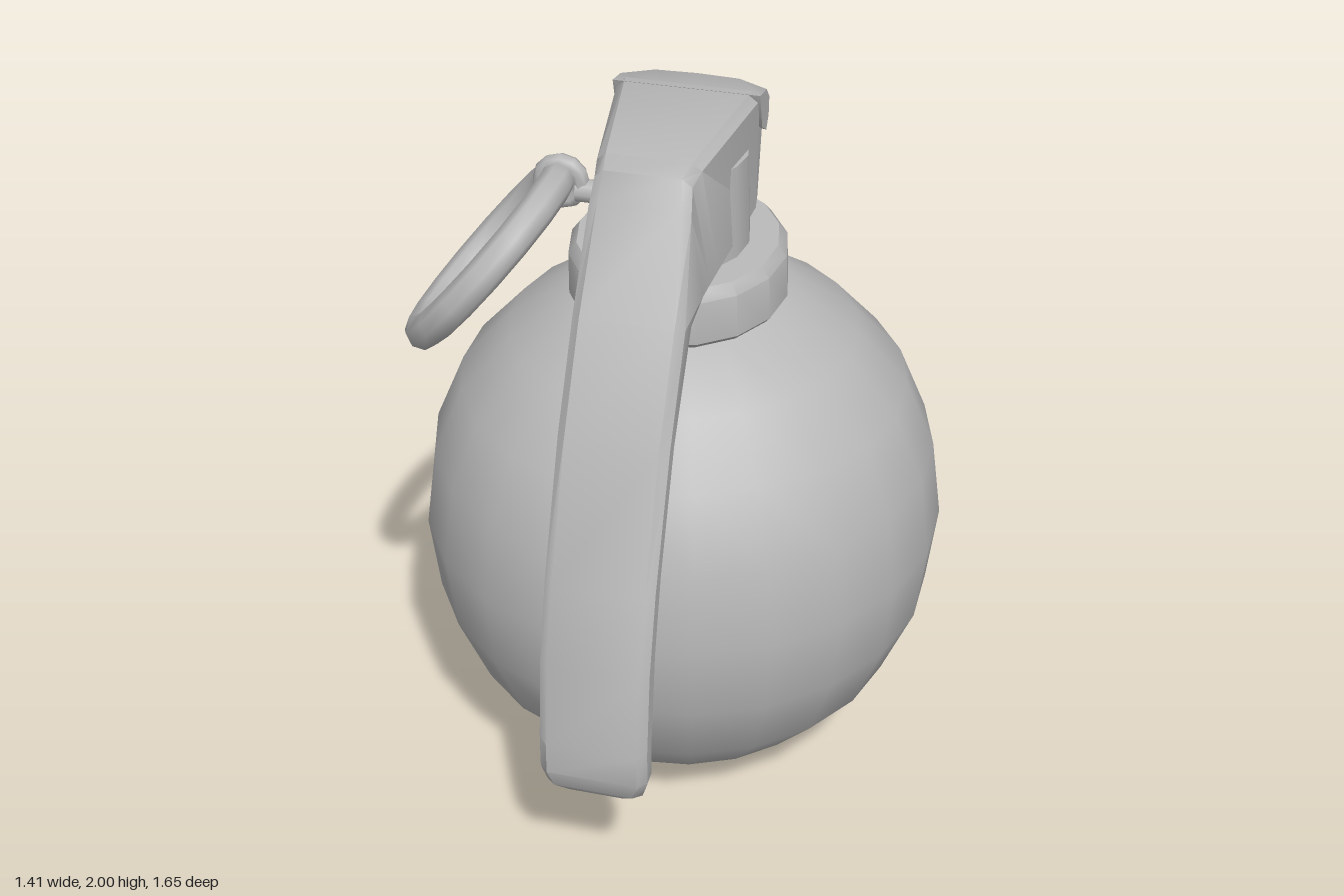
import * as THREE from 'three';
import { toCreasedNormals } from 'three/addons/utils/BufferGeometryUtils.js';

// Skin a closed solid over equal-length rings of [x, y, z] points.
function loft(rings, crease) {
  const n = rings[0].length, last = (rings.length - 1) * n, index = [];
  for (let i = 0; i < rings.length - 1; i++) {
    for (let j = 0; j < n; j++) {
      const a = i * n + j, b = i * n + (j + 1) % n;
      index.push(a, b, b + n, a, b + n, a + n);
    }
  }
  for (let j = 1; j < n - 1; j++) {
    index.push(0, j + 1, j, last, last + j, last + j + 1);
  }
  const geometry = new THREE.BufferGeometry();
  geometry.setAttribute('position', new THREE.Float32BufferAttribute(rings.flat(2), 3));
  geometry.setIndex(index);
  return toCreasedNormals(geometry, crease);
}

// Bevelled rectangular section between an outer and an inner [z, y] point.
function section([oz, oy, iz, iy, wOuter, wInner = wOuter]) {
  const length = Math.hypot(oz - iz, oy - iy);
  const bevel = 0.022, t = Math.min(0.3, bevel / length);
  const at = (side, k, inset) => {
    const w = wOuter + (wInner - wOuter) * k - inset;
    return [side * w, oy + (iy - oy) * k, oz + (iz - oz) * k];
  };
  return [
    at(-1, 0, bevel), at(1, 0, bevel), at(1, t, 0), at(1, 1 - t, 0),
    at(1, 1, bevel), at(-1, 1, bevel), at(-1, 1 - t, 0), at(-1, t, 0),
  ];
}

export function createModel() {
  const model = new THREE.Group();
  const grey = new THREE.MeshStandardMaterial({ color: 0xb8b8b8 });
  grey.name = 'plain grey';

  const add = (name, geometry, x = 0, y = 0, z = 0) => {
    const mesh = new THREE.Mesh(geometry, grey);
    mesh.name = name;
    mesh.position.set(x, y, z);
    model.add(mesh);
    return mesh;
  };
  const profile = (points) => points.map(([r, y]) => new THREE.Vector2(r, y));

  // Round body
  add('body', new THREE.LatheGeometry(profile([
    [0, 0], [0.09, 0.005], [0.28, 0.065], [0.46, 0.18], [0.6, 0.34], [0.685, 0.55],
    [0.71, 0.77], [0.68, 0.99], [0.6, 1.18], [0.465, 1.33], [0.29, 1.45], [0, 1.54],
  ]), 22), 0, 0, -0.115);

  // Tilted collar and the neck inside it
  const collar = add('collar', toCreasedNormals(new THREE.LatheGeometry(profile([
    [0, -0.085], [0.275, -0.085], [0.287, -0.07], [0.284, 0.05], [0.262, 0.08], [0, 0.085],
  ]), 16), 0.6), 0, 1.55, -0.06);
  collar.rotation.x = 0.075;
  add('neck', new THREE.CylinderGeometry(0.18, 0.19, 0.35, 16), 0, 1.7, -0.05);

  // Lever sweeping up from its tip into the head: outer z, y, inner z, y, half widths
  add('leverAndHead', loft([
    [0.79, 0.455, 0.755, 0.455, 0.09],
    [0.81, 0.48, 0.745, 0.475, 0.125],
    [0.822, 0.53, 0.737, 0.53, 0.14],
    [0.82, 0.62, 0.735, 0.65, 0.14],
    [0.79, 0.84, 0.7, 0.89, 0.14],
    [0.73, 1.05, 0.64, 1.09, 0.14],
    [0.59, 1.395, 0.51, 1.37, 0.14],
    [0.445, 1.645, 0.345, 1.61, 0.14],
    [0.32, 1.9, 0.26, 1.62, 0.125, 0.145],
    [0.285, 1.965, 0.2, 1.625, 0.118, 0.15],
    [0.23, 1.982, 0.14, 1.63, 0.128, 0.155],
    [-0.15, 2.0, -0.15, 1.655, 0.185, 0.18],
    [-0.2, 1.985, -0.21, 1.66, 0.185, 0.17],
    [-0.245, 1.94, -0.25, 1.68, 0.12, 0.12],
  ].map(section), 0.75));

  // Overhanging lip at the back of the head, drawn in towards both sides
  const lip = [[2.0, -0.13], [1.9, -0.18], [1.87, -0.26], [1.9, -0.3], [1.95, -0.305], [1.985, -0.25]];
  add('lip', loft([[-0.19, 0.62], [-0.11, 0.97], [0, 1.02], [0.11, 0.97], [0.19, 0.62]]
    .map(([x, s]) => lip.map(([y, z]) => [x, y, -0.13 + (z + 0.13) * s])), 0.75));

  // Pull ring, leaning outwards on the model's right
  const ring = add('pullRing', new THREE.TorusGeometry(0.265, 0.044, 8, 16), -0.415, 1.66, 0.21);
  ring.quaternion.setFromRotationMatrix(new THREE.Matrix4().makeBasis(
    new THREE.Vector3(0.64, 0.768, 0),
    new THREE.Vector3(0, 0, 1),
    new THREE.Vector3(0.768, -0.64, 0),
  ));

  // Eyelet and pin holding the ring
  add('eyelet', new THREE.TorusGeometry(0.05, 0.024, 8, 12), -0.25, 1.84, 0.13);
  const pin = add('pin', new THREE.CylinderGeometry(0.03, 0.03, 0.12, 8), -0.15, 1.82, 0.13);
  pin.rotation.z = Math.PI / 2;

  return model;
}
